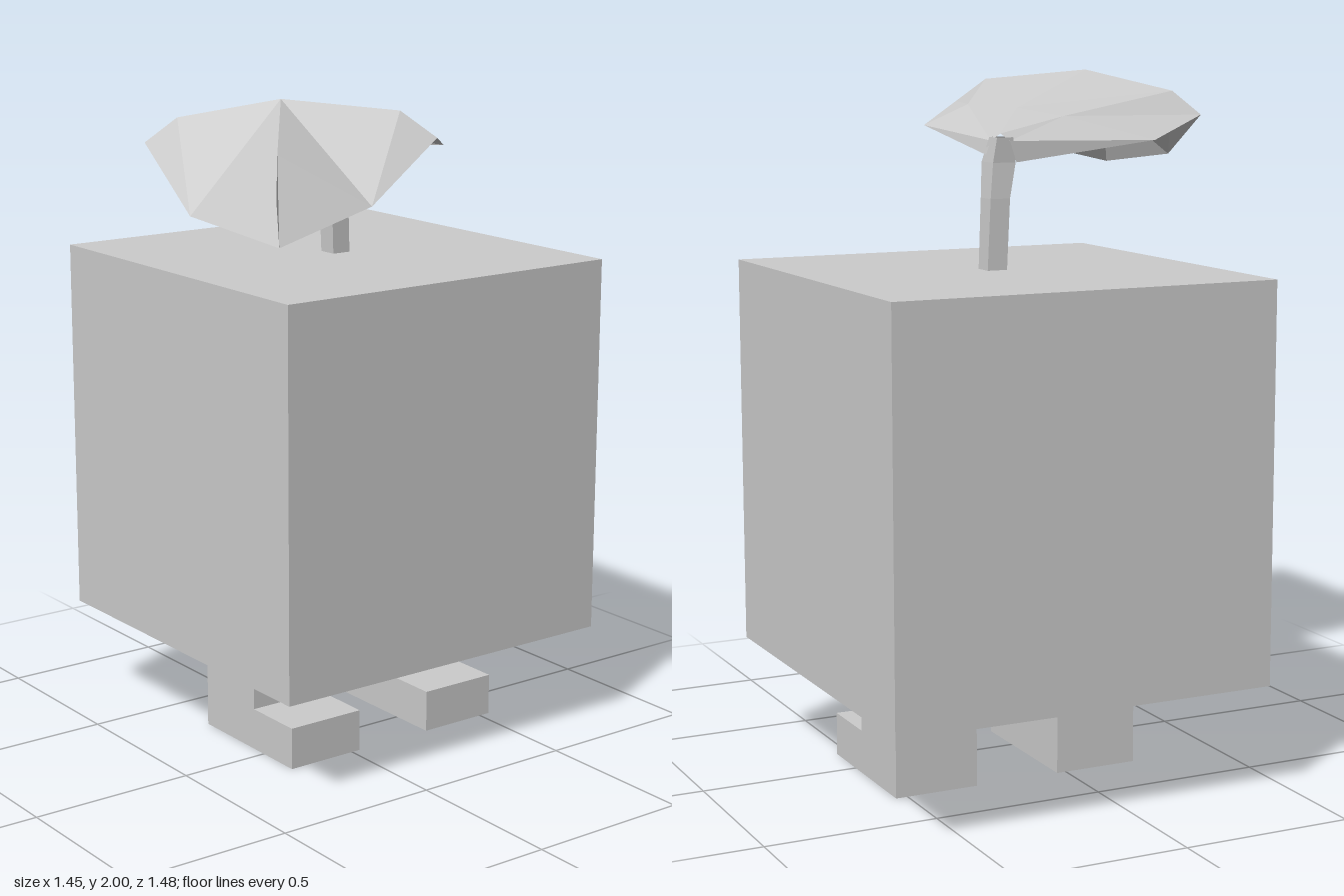
import * as THREE from 'three';

const material = new THREE.MeshStandardMaterial({ color: 0xcccccc, flatShading: true });
const thinMaterial = new THREE.MeshStandardMaterial({ color: 0xcccccc, flatShading: true, side: THREE.DoubleSide });

// Skin consecutive rows of points; diagonals are mirrored about the middle column.
function skin(rows) {
  const pos = [];
  for (let r = 0; r < rows.length - 1; r++) {
    const a = rows[r], b = rows[r + 1];
    for (let i = 0; i < a.length - 1; i++) {
      if (i < (a.length - 1) / 2) pos.push(a[i], b[i], a[i + 1], a[i + 1], b[i], b[i + 1]);
      else pos.push(a[i], b[i], b[i + 1], a[i], b[i + 1], a[i + 1]);
    }
  }
  const geo = new THREE.BufferGeometry();
  geo.setAttribute('position', new THREE.Float32BufferAttribute(pos.flat(), 3));
  geo.computeVertexNormals();
  return geo;
}

function add(parent, name, geo, mat = material) {
  const mesh = new THREE.Mesh(geo, mat);
  mesh.name = name;
  parent.add(mesh);
  return mesh;
}

export function createModel() {
  const model = new THREE.Group();
  model.name = 'cubeSprout';

  // Cube body
  add(model, 'body', new THREE.BoxGeometry(1.135, 1.14, 1.14)).position.set(0.155, 0.89, -0.17);

  // L-shaped legs with feet pointing forward
  const profile = new THREE.Shape(
    [[0.30, 0], [0.30, 0.32], [0.05, 0.32], [0.05, 0.127], [-0.145, 0.127], [-0.145, 0]]
      .map(([x, y]) => new THREE.Vector2(x, y)));
  for (const [name, x] of [['rightLeg', -0.222], ['leftLeg', 0.285]]) {
    const geo = new THREE.ExtrudeGeometry(profile, { depth: 0.25, bevelEnabled: false });
    geo.rotateY(Math.PI / 2);
    add(model, name, geo).position.x = x;
  }

  // Square stem bending slightly at the top: y, x range, z range
  const stemRows = [
    [1.45, 0.14, 0.20, -0.20, -0.14],
    [1.66, 0.13, 0.19, -0.20, -0.135],
    [1.76, 0.11, 0.18, -0.195, -0.12],
    [1.83, 0.12, 0.17, -0.20, -0.15],
  ].map(([y, x0, x1, z0, z1]) =>
    [[x0, y, z0], [x0, y, z1], [x1, y, z1], [x1, y, z0], [x0, y, z0]]);
  add(model, 'stem', skin(stemRows), thinMaterial);

  // Folded leaf: rows run from the stem to the tip, each from edge to edge
  const left = [-0.725, 1.73, 0.41], right = [-0.37, 1.76, 0.71], tip = [-0.68, 1.69, 0.74];
  const leafRows = [
    [[0.11, 1.76, -0.20], [0.13, 1.82, -0.20], [0.15, 1.84, -0.18], [0.17, 1.82, -0.16], [0.18, 1.78, -0.15]],
    [[-0.35, 1.81, -0.17], [-0.10, 1.88, -0.08], [-0.03, 1.90, 0.08], [0.05, 1.905, 0.25], [0.14, 1.84, 0.37]],
    [[-0.62, 1.87, 0.03], [-0.56, 1.94, 0.10], [-0.39, 2.0, 0.34], [-0.14, 1.97, 0.53], [-0.07, 1.90, 0.60]],
    [left, left, [-0.60, 1.90, 0.62], right, right],
    [tip, tip, [-0.66, 1.80, 0.70], tip, tip],
  ];
  add(model, 'leaf', skin(leafRows), thinMaterial);

  return model;
}
